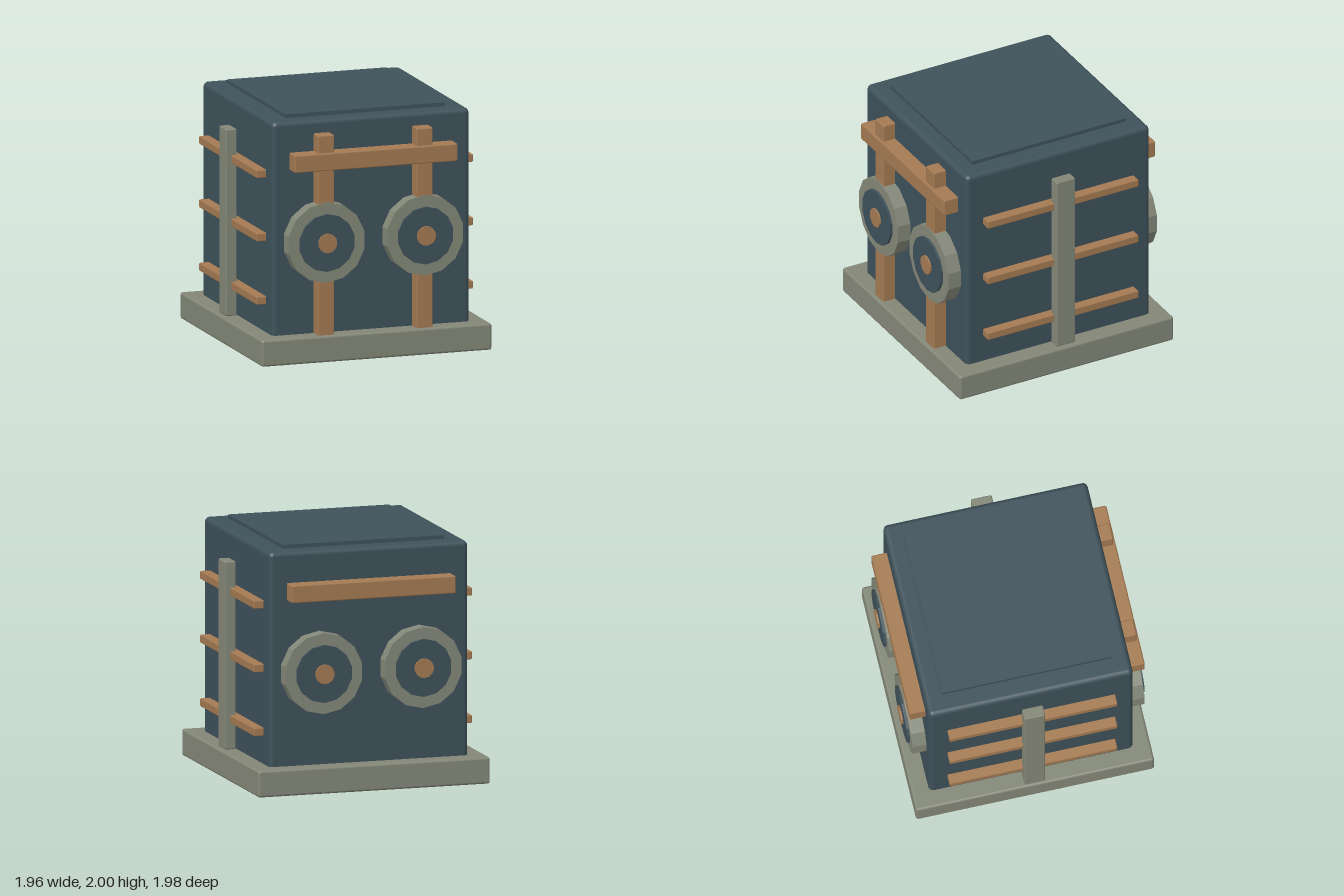
import * as THREE from 'three';
import { RoundedBoxGeometry } from 'three/addons/geometries/RoundedBoxGeometry.js';

export function createModel() {
  const model = new THREE.Group();
  const paint = (name, color) => {
    const m = new THREE.MeshStandardMaterial({ color });
    m.name = name;
    return m;
  };
  const slate = paint('slateBlue', 0x3e515a);
  const stone = paint('stoneGrey', 0x838777);
  const copper = paint('copper', 0xa47a52);

  const add = (parent, name, geometry, material, x, y, z) => {
    const mesh = new THREE.Mesh(geometry, material);
    mesh.name = name;
    mesh.position.set(x, y, z);
    parent.add(mesh);
    return mesh;
  };
  // Softly bevelled box given by its size and centre
  const block = (parent, name, material, w, h, d, x, y, z, bevel = 0.012, steps = 1) =>
    add(parent, name, new RoundedBoxGeometry(w, h, d, steps, bevel), material, x, y, z);

  // Base, body and the flat panels on top and underneath
  block(model, 'base', stone, 1.96, 0.218, 1.96, 0, 0.111, 0, 0.02, 2);
  block(model, 'body', slate, 1.68, 1.87, 1.68, 0, 1.035, 0, 0.04, 3);
  add(model, 'topPanel', new THREE.BoxGeometry(1.36, 0.04, 1.4), slate, 0, 1.98, 0);
  add(model, 'bottomPanel', new THREE.BoxGeometry(1.36, 0.008, 1.4), slate, 0, 0.004, 0);

  // Fourteen-sided disc facing +z, from z = 0.8 out to the given depth
  const disc = (parent, name, material, radius, front) => {
    const geometry = new THREE.CylinderGeometry(radius, radius, front - 0.8, 14).toNonIndexed();
    geometry.rotateX(Math.PI / 2);
    geometry.computeVertexNormals();
    add(parent, name, geometry, material, 0, 0, (front + 0.8) / 2);
  };

  // Front and back: a cross beam and two round dials each
  for (const side of ['front', 'back']) {
    const face = new THREE.Group();
    face.name = side + 'Face';
    if (side === 'back') face.rotation.y = Math.PI;
    model.add(face);

    block(face, side + 'Beam', copper, 1.39, 0.145, 0.145, 0, 1.643, 0.895);
    for (const s of [-1, 1]) {
      const dial = new THREE.Group();
      dial.name = side + 'Dial';
      dial.position.set(s * 0.42, 0.98, 0);
      face.add(dial);
      disc(dial, 'dialRim', stone, 0.331, 0.955);
      disc(dial, 'dialPlate', slate, 0.236, 0.975);
      disc(dial, 'dialHub', copper, 0.08, 0.99);

      // Uprights stand on the front only
      if (side === 'front') {
        block(face, 'frontPost', copper, 0.14, 1.66, 0.125, s * 0.42, 1.03, 0.885);
      }
    }
  }

  // Left and right: three rails crossed by one upright
  for (const s of [-1, 1]) {
    const rack = new THREE.Group();
    rack.name = s > 0 ? 'leftRack' : 'rightRack';
    model.add(rack);
    block(rack, 'sidePost', stone, 0.095, 1.535, 0.172, s * 0.92, 1.003, 0);
    for (const y of [0.483, 1.003, 1.523]) {
      block(rack, 'sideRail', copper, 0.1, 0.066, 1.38, s * 0.872, y, 0, 0.008);
    }
  }
  return model;
}
